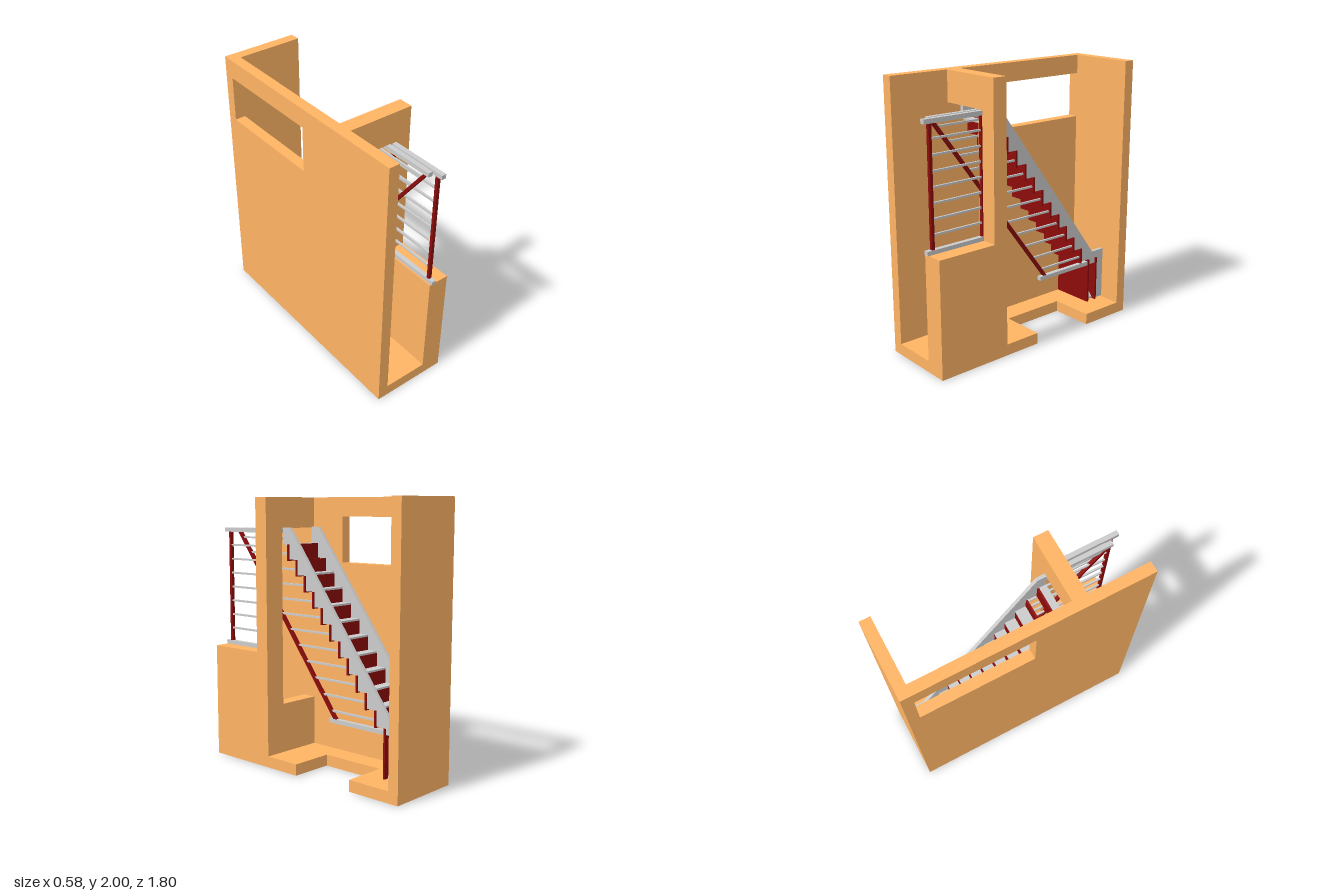
import * as THREE from 'three';

const mat = (color) => new THREE.MeshStandardMaterial({ color, side: THREE.DoubleSide });

export function createModel() {
  const group = new THREE.Group();
  const plaster = mat(0xffb464);
  const red = mat(0x8c0b0b);
  const grey = mat(0xcccccc);

  const add = (name, geometry, material) => {
    const mesh = new THREE.Mesh(geometry, material);
    mesh.name = name;
    group.add(mesh);
    return mesh;
  };

  // Box given by its limits on each axis
  const box = (name, material, x0, x1, y0, y1, z0, z1) => {
    const g = new THREE.BoxGeometry(x1 - x0, y1 - y0, z1 - z0);
    g.translate((x0 + x1) / 2, (y0 + y1) / 2, (z0 + z1) / 2);
    return add(name, g, material);
  };

  // Side profile of [z, y] points, extruded from x0 to x1
  const sidePath = (pts) => pts.map(([z, y]) => new THREE.Vector2(-z, y));
  const slab = (name, material, pts, x0, x1, hole) => {
    const shape = new THREE.Shape(sidePath(pts));
    if (hole) shape.holes.push(new THREE.Path(sidePath(hole)));
    const g = new THREE.ExtrudeGeometry(shape, { depth: x1 - x0, bevelEnabled: false });
    g.rotateY(Math.PI / 2);
    g.translate(x0, 0, 0);
    return add(name, g, material);
  };
  const rect = (z0, z1, y0, y1) => [[z0, y0], [z1, y0], [z1, y1], [z0, y1]];

  // Walls
  slab('sideWall', plaster, rect(-0.9, 0.89, 0, 2), -0.29, -0.21, rect(-0.82, 0.03, 1.52, 1.86));
  box('backWall', plaster, -0.21, 0.29, 0, 2, -0.9, -0.82);

  // Floor with a notch in its open side
  const floorShape = new THREE.Shape([
    [-0.21, -0.89], [0.29, -0.89], [0.29, -0.03], [-0.04, -0.03],
    [-0.04, 0.48], [0.29, 0.48], [0.29, 0.82], [-0.21, 0.82],
  ].map(([x, y]) => new THREE.Vector2(x, y)));
  const floor = new THREE.ExtrudeGeometry(floorShape, { depth: 0.085, bevelEnabled: false });
  floor.rotateX(-Math.PI / 2);
  add('floor', floor, plaster);

  // Partition with a raised opening, and the low wall in front of it
  box('partitionJamb', plaster, 0.13, 0.29, 0.085, 2, 0.32, 0.43);
  box('partitionHeader', plaster, -0.21, 0.13, 1.775, 2, 0.32, 0.43);
  box('partitionSill', plaster, -0.21, 0.13, 0.085, 0.46, 0.32, 0.43);
  box('lowWall', plaster, 0.13, 0.29, 0.085, 0.865, 0.43, 0.89);

  // Stair rhythm: step 0 is the highest
  const rise = 0.1105, run = 0.083, steps = 11;
  const stepZ = (i) => 0.255 - i * run;
  const stepY = (i) => 1.66 - i * rise;

  // Stringers with a straight top and a stepped underside
  const profile = [[0.32, 1.66]];
  for (let i = 0; i < steps; i++) {
    profile.push([stepZ(i), stepY(i)], [stepZ(i), stepY(i + 1)]);
  }
  profile.push([-0.655, stepY(steps)], [-0.655, 0.4], [-0.74, 0.4], [-0.74, 0.095],
    [-0.82, 0.095], [-0.82, 0.5], [-0.7, 0.5], [0.25, 1.78], [0.32, 1.78]);
  for (const x of [-0.21, 0.095]) slab('stringer', grey, profile, x, x + 0.025);

  // Risers; the two lowest stand on the floor
  for (let i = 0; i < steps; i++) {
    box('riser', red, -0.205, 0.13, stepY(i + 1) - 0.01, stepY(i), stepZ(i) - 0.002, stepZ(i) + 0.012);
  }
  for (const z of [-0.655, -0.74]) {
    box('baseRiser', red, -0.205, 0.13, 0.088, 0.443, z - 0.007, z + 0.008);
  }

  // Treads; the second from the top is left open
  box('topTread', grey, -0.185, 0.095, 1.645, 1.66, 0.255, 0.32);
  for (let i = 1; i < steps; i++) {
    box('tread', grey, -0.185, 0.095, stepY(i + 1), stepY(i + 1) + 0.014, stepZ(i + 1), stepZ(i));
  }
  box('lowestTread', grey, -0.185, 0.095, 0.32, 0.335, -0.82, -0.747);

  // Sloping panel between the base risers
  const ramp = new THREE.ExtrudeGeometry(new THREE.Shape([
    new THREE.Vector2(-0.175, 0.385), new THREE.Vector2(0.095, 0.088),
    new THREE.Vector2(0.095, 0.103), new THREE.Vector2(-0.175, 0.4),
  ]), { depth: 0.07, bevelEnabled: false });
  ramp.translate(0, 0, -0.732);
  add('slopingPanel', ramp, grey);

  // Stair railing: slanted bar, end rails and level bars
  const slantZ = (y) => -0.2 + (y - 0.43) / 1.325;
  slab('slantedBar', red, [
    [slantZ(0.43) - 0.01, 0.43], [slantZ(0.43) + 0.018, 0.43],
    [slantZ(1.74) + 0.018, 1.74], [slantZ(1.74) - 0.01, 1.74],
  ], 0.097, 0.123);
  box('stairTopRail', grey, 0.093, 0.127, 1.74, 1.772, 0.32, 0.83);
  box('stairBottomRail', grey, 0.093, 0.127, 0.4, 0.43, -0.65, -0.145);
  for (let i = 0; i <= steps; i++) {
    const y = 1.7 - i * rise;
    box('stairBar', grey, 0.103, 0.117, y - 0.007, y + 0.007, stepZ(i - 1), slantZ(y));
  }

  // Balcony railing on the low wall
  box('balconyTopRail', grey, 0.14, 0.175, 1.74, 1.772, 0.43, 0.9);
  box('balconyBottomRail', grey, 0.14, 0.175, 0.865, 0.895, 0.43, 0.9);
  for (const [z0, z1] of [[0.43, 0.439], [0.838, 0.86]]) {
    box('balconyPost', red, 0.145, 0.17, 0.895, 1.74, z0, z1);
  }
  for (let i = 0; i < 7; i++) {
    const y = 0.995 + i * 0.1075;
    box('balconyBar', grey, 0.15, 0.165, y - 0.007, y + 0.007, 0.435, 0.845);
  }
  return group;
}
